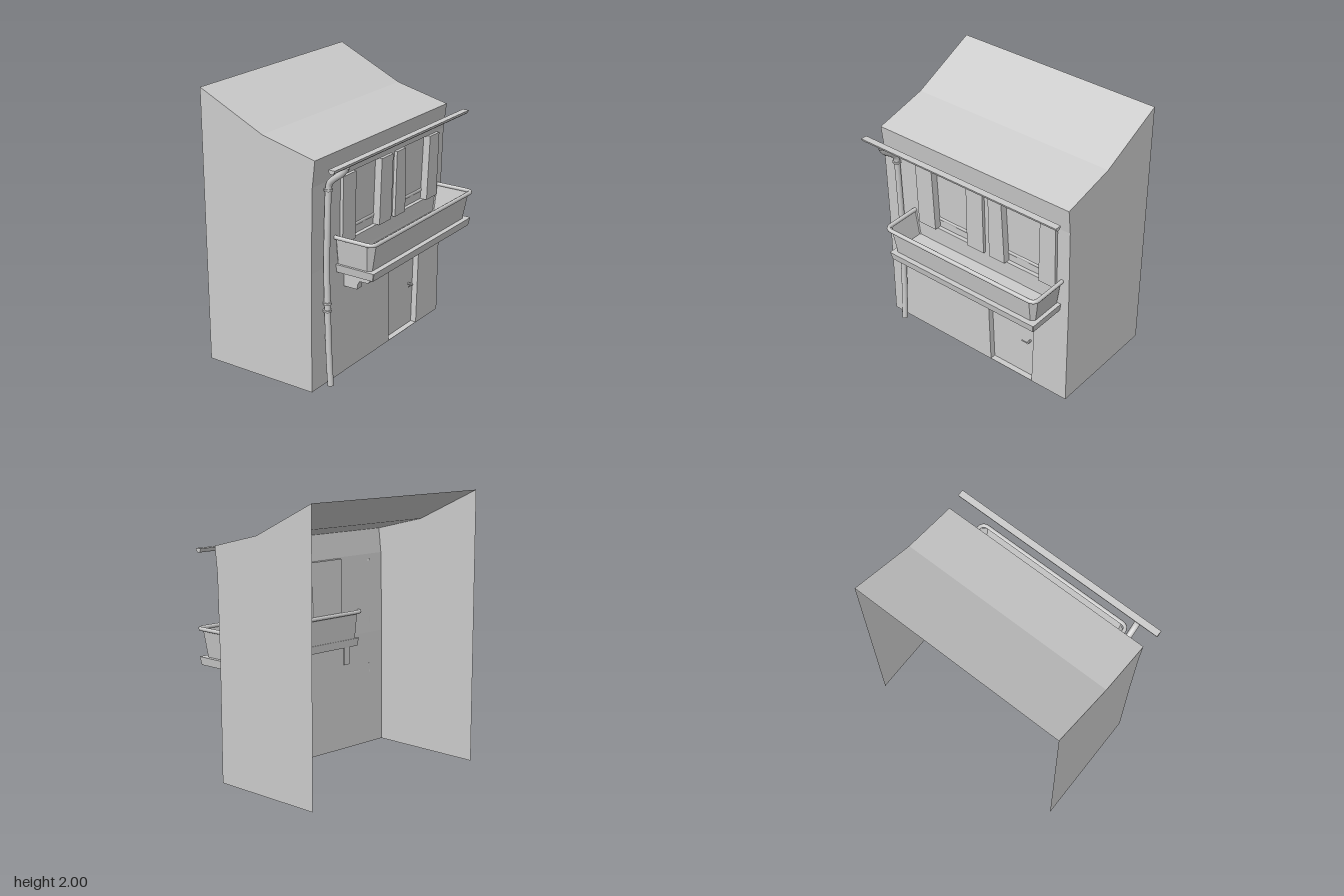
import * as THREE from 'three';

const mat = new THREE.MeshStandardMaterial({ color: 0xcccccc, side: THREE.DoubleSide });
const flat = new THREE.MeshStandardMaterial({ color: 0xcccccc, side: THREE.DoubleSide, flatShading: true });

// Gently bent front wall: x as a function of height
const WALL = [[0.278, 0], [0.283, 0.87], [0.298, 1.475], [0.32, 1.66]];
function wallX(y) {
  for (let i = 1; i < WALL.length; i++) {
    const [x0, y0] = WALL[i - 1], [x1, y1] = WALL[i];
    if (y <= y1 || i === WALL.length - 1) return x0 + (x1 - x0) * (y - y0) / (y1 - y0);
  }
}

// Turns a (-z, y) drawing to face +x and lays it on the wall
function layOnWall(geo, offset = 0) {
  geo.rotateY(Math.PI / 2);
  const p = geo.attributes.position;
  for (let i = 0; i < p.count; i++) p.setX(i, p.getX(i) + offset + wallX(p.getY(i)));
  geo.computeVertexNormals();
  return geo;
}
const outline = pts => pts.map(([z, y]) => new THREE.Vector2(-z, y));
const rect = (z0, z1, y0, y1) => [[z0, y0], [z1, y0], [z1, y1], [z0, y1]];

// Extrudes an (x, y) profile along z
function extrudeZ(pts, z0, z1) {
  const shape = new THREE.Shape(pts.map(([x, y]) => new THREE.Vector2(x, y)));
  const geo = new THREE.ExtrudeGeometry(shape, { depth: z1 - z0, bevelEnabled: false });
  return geo.translate(0, 0, z0);
}

// Skin over rectangular rings with cut corners: [x0, x1, z0, z1, y, cut]
function loft(rings, capEnd = true) {
  const pos = [], idx = [];
  for (const [x0, x1, z0, z1, y, c] of rings) {
    for (const [x, z] of [[x0 + c, z0], [x0, z0 + c], [x0, z1 - c], [x0 + c, z1],
      [x1 - c, z1], [x1, z1 - c], [x1, z0 + c], [x1 - c, z0]]) pos.push(x, y, z);
  }
  for (let r = 0; r + 1 < rings.length; r++) {
    for (let i = 0; i < 8; i++) {
      const a = r * 8 + i, b = r * 8 + (i + 1) % 8;
      idx.push(a, b, a + 8, b, b + 8, a + 8);
    }
  }
  const caps = capEnd ? [0, rings.length - 1] : [0];
  for (const r of caps) {
    for (let i = 1; i < 7; i++) {
      if (r) idx.push(r * 8, r * 8 + i, r * 8 + i + 1);
      else idx.push(0, i + 1, i);
    }
  }
  const geo = new THREE.BufferGeometry();
  geo.setAttribute('position', new THREE.Float32BufferAttribute(pos, 3));
  geo.setIndex(idx);
  geo.computeVertexNormals();
  return geo;
}

export function createModel() {
  const model = new THREE.Group();
  const add = (name, geo, material = flat) => {
    const mesh = new THREE.Mesh(geo, material);
    mesh.name = name;
    model.add(mesh);
    return mesh;
  };

  // Side walls, open at the back and below
  const roof = [[-0.615, 2], [-0.1, 1.76], [0.32, 1.66]];
  const sidePts = [[-0.615, 0], ...WALL, roof[1], roof[0]];
  for (const s of [1, -1]) {
    const geo = new THREE.ShapeGeometry(new THREE.Shape(sidePts.map(([x, y]) => new THREE.Vector2(x, y))));
    if (s < 0) geo.rotateY(Math.PI).scale(-1, 1, 1);
    add('sideWall', geo.translate(0, 0, s * 0.82));
  }

  // Two roof slopes
  for (let i = 0; i < 2; i++) {
    const [x0, y0] = roof[i], [x1, y1] = roof[i + 1];
    const geo = new THREE.PlaneGeometry(Math.hypot(x1 - x0, y1 - y0), 1.64);
    geo.rotateX(-Math.PI / 2).rotateZ(Math.atan2(y1 - y0, x1 - x0));
    add('roofSlope', geo.translate((x0 + x1) / 2, (y0 + y1) / 2, 0));
  }

  // Front wall in three bands with openings for door and windows
  const door = [[-0.135, 0.003], [-0.515, 0.003], [-0.53, 0.577], [-0.115, 0.577]];
  const windows = [
    [[0.345, 0.98], [0.05, 0.98], [0.043, 1.467], [0.355, 1.467]],
    [[-0.285, 0.98], [-0.58, 0.98], [-0.592, 1.467], [-0.265, 1.467]],
  ];
  const bands = [[0, 0.87, [door]], [0.87, 1.475, windows], [1.475, 1.66, []]];
  for (const [y0, y1, holes] of bands) {
    const shape = new THREE.Shape(outline(rect(0.82, -0.82, y0, y1)));
    for (const h of holes) shape.holes.push(new THREE.Path(outline(h)));
    add('frontWall', layOnWall(new THREE.ShapeGeometry(shape)));
  }

  // Recessed panels with the reveals around them
  const recess = (name, pts, depth) => {
    const shape = new THREE.Shape(outline(pts));
    add(name, layOnWall(new THREE.ShapeGeometry(shape), -depth));
    const solid = new THREE.ExtrudeGeometry(shape, { depth, bevelEnabled: false });
    const sides = solid.groups[1];
    const reveal = new THREE.BufferGeometry();
    reveal.setAttribute('position', new THREE.BufferAttribute(
      solid.attributes.position.array.slice(sides.start * 3, (sides.start + sides.count) * 3), 3));
    add(name + 'Reveal', layOnWall(reveal, -depth));
  };
  recess('door', door, 0.045);
  windows.forEach(w => recess('windowPane', w, 0.03));

  // Shutters beside each window
  const shutters = [
    [[0.5, 0.98], [0.345, 0.98], [0.355, 1.467], [0.505, 1.467]],
    [[0.05, 0.98], [-0.1, 0.98], [-0.1, 1.467], [0.043, 1.467]],
    [[-0.15, 0.98], [-0.285, 0.98], [-0.265, 1.467], [-0.15, 1.467]],
    [[-0.58, 0.98], [-0.72, 0.98], [-0.72, 1.467], [-0.592, 1.467]],
  ];
  for (const s of shutters) {
    const geo = new THREE.ExtrudeGeometry(new THREE.Shape(outline(s)), { depth: 0.024, bevelEnabled: false });
    add('shutter', layOnWall(geo));
  }

  // Door handle: stem and lever
  add('handleStem', new THREE.CylinderGeometry(0.009, 0.009, 0.04, 8).rotateZ(Math.PI / 2).translate(0.253, 0.33, -0.468));
  add('handleLever', new THREE.CylinderGeometry(0.005, 0.005, 0.06, 8).rotateX(Math.PI / 2).translate(0.27, 0.33, -0.445));

  // Planter: tub, rounded rim, base slab
  add('planterTub', loft([
    [0.265, 0.548, -0.725, 0.522, 0.845, 0.025],
    [0.25, 0.585, -0.757, 0.552, 1.05, 0.045],
  ], false));
  const [rx0, rx1, rz0, rz1, rc] = [0.25, 0.59, -0.762, 0.557, 0.05];
  const rimPath = new THREE.CurvePath();
  const corners = [[rx0, rz0], [rx0, rz1], [rx1, rz1], [rx1, rz0]].map(([x, z]) => new THREE.Vector3(x, 1.05, z));
  const toward = (a, b) => a.clone().add(b.clone().sub(a).setLength(rc));
  corners.forEach((c, i) => {
    const prev = corners[(i + 3) % 4], next = corners[(i + 1) % 4];
    rimPath.add(new THREE.QuadraticBezierCurve3(toward(c, prev), c, toward(c, next)));
    rimPath.add(new THREE.LineCurve3(toward(c, next), toward(next, c)));
  });
  add('planterRim', new THREE.TubeGeometry(rimPath, 160, 0.015, 8, true), mat);
  add('planterBase', loft([
    [0.265, 0.575, -0.747, 0.53, 0.788, 0.004],
    [0.26, 0.587, -0.755, 0.54, 0.847, 0.004],
  ]));

  // Stepped brackets under the planter
  const bracket = [[0.27, 0.655], [0.39, 0.655], [0.395, 0.69], [0.41, 0.718], [0.48, 0.72], [0.5, 0.75], [0.515, 0.79], [0.27, 0.79]];
  for (const z of [0.418, -0.608]) add('planterBracket', extrudeZ(bracket, z - 0.027, z + 0.027));

  // Gutter
  const gutter = [[0.442, 1.632], [0.446, 1.614], [0.456, 1.604], [0.474, 1.604], [0.485, 1.614], [0.492, 1.632]];
  add('gutter', extrudeZ(gutter, -0.845, 0.845));

  // Downpipe with collars
  const pipePts = [[0.333, 0.01], [0.322, 0.2], [0.31, 0.6], [0.306, 0.9], [0.314, 1.2], [0.323, 1.42],
    [0.332, 1.474], [0.375, 1.517], [0.425, 1.553], [0.455, 1.585], [0.468, 1.612]];
  const pipe = new THREE.CatmullRomCurve3(pipePts.map(([x, y]) => new THREE.Vector3(x, y, 0.678)));
  add('downpipe', new THREE.TubeGeometry(pipe, 60, 0.022, 12), mat);
  for (const [x, y] of [[0.311, 0.567], [0.31, 0.622], [0.323, 1.428]]) {
    add('pipeCollar', new THREE.CylinderGeometry(0.031, 0.031, 0.014, 12).translate(x, y, 0.678));
  }

  return model;
}
